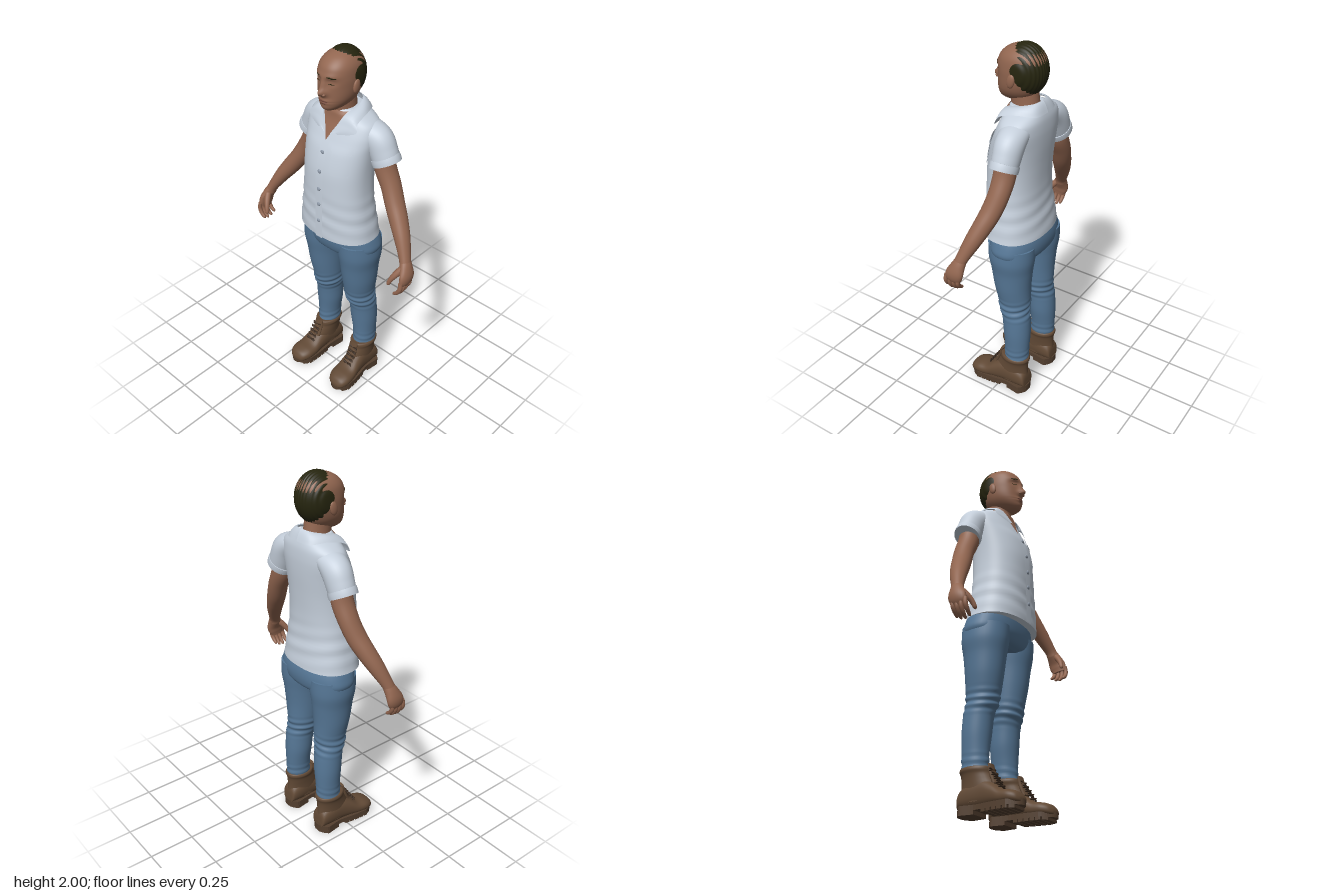
import * as THREE from 'three';

const V = (x, y, z) => new THREE.Vector3(x, y, z);
const mat = (name, color) => {
  const m = new THREE.MeshStandardMaterial({ color, side: THREE.DoubleSide });
  m.name = name;
  return m;
};

// Smooth in-between rows for a list of cross-sections
function dense(rows, k = 6) {
  const out = [], at = i => rows[Math.max(0, Math.min(rows.length - 1, i))];
  for (let i = 0; i < rows.length - 1; i++) for (let s = 0; s < k; s++) {
    const t = s / k;
    out.push(rows[i].map((_, c) => {
      const [a, b, d, e] = [at(i - 1)[c], at(i)[c], at(i + 1)[c], at(i + 2)[c]];
      return b + 0.5 * t * (d - a + t * (2 * a - 5 * b + 4 * d - e + t * (3 * (b - d) + e - a)));
    }));
  }
  out.push(rows[rows.length - 1]);
  return out;
}

// Skin over sections [x, y, z, ru, rv]; rings follow the path unless an axis is fixed
function loft(rows, { axis = null, ref = V(0, 0, 1), n = 32, k = 6, e = 2, warp = null } = {}) {
  const secs = dense(rows, k), pos = [], idx = [], rings = secs.length;
  const c = secs.map(s => V(s[0], s[1], s[2]));
  secs.forEach((s, i) => {
    const t = axis ? axis.clone() : c[Math.min(i + 1, rings - 1)].clone().sub(c[Math.max(i - 1, 0)]).normalize();
    const u = t.clone().cross(ref).normalize(), v = u.clone().cross(t);
    for (let j = 0; j < n; j++) {
      const a = j / n * Math.PI * 2, ca = Math.cos(a), sa = Math.sin(a);
      const d = u.clone().multiplyScalar(Math.sign(ca) * Math.abs(ca) ** (2 / e) * s[3])
        .addScaledVector(v, Math.sign(sa) * Math.abs(sa) ** (2 / e) * s[4]);
      const p = c[i].clone().add(d);
      if (warp) warp(p, d.normalize());
      pos.push(p.x, p.y, p.z);
    }
  });
  for (let i = 0; i < rings - 1; i++) for (let j = 0; j < n; j++) {
    const a = i * n + j, b = i * n + (j + 1) % n;
    idx.push(a, a + n, b, b, a + n, b + n);
  }
  for (const i of [0, rings - 1]) {
    const o = pos.length / 3;
    pos.push(...pos.slice(i * n * 3, (i + 1) * n * 3), c[i].x, c[i].y, c[i].z);
    for (let j = 0; j < n; j++) {
      const a = o + j, b = o + (j + 1) % n;
      idx.push(...(i ? [a, o + n, b] : [a, b, o + n]));
    }
  }
  const g = new THREE.BufferGeometry();
  g.setAttribute('position', new THREE.Float32BufferAttribute(pos, 3));
  g.setIndex(idx);
  g.computeVertexNormals();
  return g;
}

// Upright body sections are [y, backZ, frontZ, halfWidth, centreX]
const upright = (rows, s = 1) => rows.map(([y, b, f, rx, cx = 0]) => [cx * s, y, (b + f) / 2, rx, (f - b) / 2]);
const UP = { axis: V(0, 1, 0) };
function frontZ(rows, e) {
  const d = dense(upright(rows), 8);
  return (x, y) => {
    let i = 0;
    while (i < d.length - 2 && d[i + 1][1] < y) i++;
    const t = THREE.MathUtils.clamp((y - d[i][1]) / (d[i + 1][1] - d[i][1]), 0, 1);
    const L = q => d[i][q] + (d[i + 1][q] - d[i][q]) * t;
    return L(2) + L(4) * Math.max(0, 1 - Math.min(1, Math.abs(x) / L(3)) ** e) ** (1 / e);
  };
}
// Thin plate that follows a front surface
function plate(fn, cx, cy, w, h, off, width = () => 1, tilt = 0) {
  const g = new THREE.PlaneGeometry(1, 1, 12, 16), p = g.attributes.position;
  for (let i = 0; i < p.count; i++) {
    const u = p.getX(i), v = p.getY(i), x = cx + u * w * width(v), y = cy + v * h + tilt * u;
    p.setXYZ(i, x, y, fn(x, y) + off);
  }
  g.computeVertexNormals();
  return g;
}

const TORSO = [[1.005, -.185, .128, .225], [1.1, -.174, .128, .21], [1.2, -.162, .126, .196], [1.3, -.16, .124, .188],
  [1.4, -.165, .117, .188], [1.5, -.173, .094, .195], [1.56, -.176, .068, .203], [1.6, -.176, .05, .203],
  [1.64, -.173, .032, .19], [1.667, -.167, .024, .155], [1.69, -.158, .02, .108], [1.705, -.145, .01, .08]];
const HEAD = [[1.71, -.02, .05, .015], [1.718, -.05, .075, .036], [1.738, -.09, .087, .06], [1.765, -.115, .089, .079],
  [1.795, -.132, .088, .09], [1.835, -.15, .088, .096], [1.88, -.158, .09, .097], [1.93, -.15, .078, .09],
  [1.965, -.125, .045, .068], [1.985, -.09, .0, .035], [1.99, -.055, -.04, .006]];
const LEG = [[.2, -.158, -.02, .058, .137], [.3, -.162, -.022, .062, .135], [.4, -.165, -.014, .072, .13],
  [.5, -.16, -.003, .074, .126], [.55, -.152, .016, .079, .12], [.6, -.154, .026, .081, .116], [.7, -.156, .045, .092, .12],
  [.8, -.165, .06, .1, .121], [.88, -.176, .074, .111, .122], [.96, -.178, .08, .112, .117]];
const PELVIS = [[.87, -.13, .035, .1], [.89, -.172, .066, .2], [.93, -.185, .082, .235], [.98, -.184, .088, .229], [1.04, -.168, .088, .208]];

const bump = (x, y, cx, cy, sx, sy, a) => a * Math.exp(-((x - cx) ** 2) / (2 * sx * sx) - ((y - cy) ** 2) / (2 * sy * sy));
const faceRelief = (x, y) => {
  const ax = Math.abs(x);
  return bump(x, y, 0, 1.845, .011, .025, .017) + bump(x, y, 0, 1.815, .016, .014, .029)
    + bump(ax, y, .038, 1.868, .018, .012, -.011) + bump(ax, y, .036, 1.866, .011, .007, .005)
    + bump(ax, y, .035, 1.895, .025, .009, .005) + bump(x, y, 0, 1.768, .024, .01, .009)
    + bump(x, y, 0, 1.768, .03, .0025, -.004) + bump(x, y, 0, 1.735, .02, .012, .004);
};

export function createModel() {
  const model = new THREE.Group();
  const skin = mat('skin', 0x926650), shirt = mat('shirt', 0xc6d0dc), denim = mat('denim', 0x567796),
    leather = mat('bootLeather', 0x624a36), sole = mat('soleRubber', 0x544030), hair = mat('hair', 0x26250f),
    lip = mat('lips', 0x7d5142), button = mat('buttons', 0x929dac), lace = mat('laces', 0x3c2c20);
  const add = (name, geo, m) => {
    const mesh = new THREE.Mesh(geo, m);
    mesh.name = name;
    model.add(mesh);
    return mesh;
  };
  const ball = (name, m, p, r) => {
    const b = add(name, new THREE.SphereGeometry(1, 20, 14), m);
    b.position.set(...p);
    b.scale.set(...r);
    return b;
  };

  // Head, face and hair
  add('head', loft(upright(HEAD), { ...UP, n: 88, k: 8, e: 2.15, warp: p => {
    if (p.z > 0) p.z += faceRelief(p.x, p.y) * Math.min(1, p.z / .04);
  } }), skin);
  add('neck', loft(upright([[1.6, -.14, .01, .085], [1.65, -.135, .022, .07], [1.7, -.125, .022, .061], [1.8, -.11, .035, .06]]), UP), skin);
  const headZ = frontZ(HEAD, 2.15), faceZ = (x, y) => headZ(x, y) + faceRelief(x, y);
  const oval = v => Math.sqrt(Math.max(0, 1 - 4 * v * v));
  add('lips', plate(faceZ, 0, 1.768, .052, .022, .0015, oval), lip);
  const cap = new THREE.SphereGeometry(1, 96, 40, 0, Math.PI * 2, 0, 1.75);
  cap.rotateX(-.87);
  const hp = cap.attributes.position;
  for (let i = 0; i < hp.count; i++) {
    const x = hp.getX(i), r = 1 + .012 * Math.cos(x * 40);
    hp.setXYZ(i, x * .1 * r, 1.87 + hp.getY(i) * .1285 * r, -.053 + hp.getZ(i) * .11 * r);
  }
  cap.computeVertexNormals();
  add('hair', cap, hair);

  // Shirt body with open collar, placket, pocket and buttons
  add('shirtBody', loft(upright(TORSO), { ...UP, n: 64, e: 2.3, warp: (p, d) => {
    const fold = Math.max(0, 1 - Math.abs(p.y - 1.13) / .16);
    p.addScaledVector(d, .003 * fold * Math.sin(p.y * 75 + p.x * 14));
  } }), shirt);
  const chestZ = frontZ(TORSO, 2.3);
  add('openNeckSkin', plate(chestZ, 0, 1.628, .14, .145, .005, v => v + .5), skin);
  add('placket', plate(chestZ, .003, 1.28, .046, .55, .007), shirt);
  add('chestPocket', plate(chestZ, .105, 1.465, .1, .13, .005, v => v < -.4 ? .85 : 1), shirt);
  add('pocketFlap', plate(chestZ, .105, 1.535, .112, .045, .009, v => v < -.3 ? .8 : 1), shirt);
  for (const y of [1.5, 1.4, 1.3, 1.21, 1.11]) ball('button', button, [.003, y, chestZ(0, y) + .008], [.011, .011, .005]);

  // Trouser seat
  add('trouserSeat', loft(upright(PELVIS), { ...UP, n: 48, e: 2.3 }), denim);

  for (const s of [1, -1]) {
    const side = s > 0 ? 'left' : 'right';
    const P = rows => rows.map(([x, ...r]) => [x * s, ...r]);

    // Face details
    ball(side + 'Ear', skin, [.099 * s, 1.835, -.03], [.011, .035, .021]).rotation.x = -.2;
    add(side + 'Eyebrow', plate(faceZ, .042 * s, 1.893, .042, .007, .0015, oval, -.004 * s), hair);
    add(side + 'LashLine', plate(faceZ, .039 * s, 1.861, .032, .0035, .0015, oval, -.003 * s), hair);
    ball(side + 'Nostril', skin, [.014 * s, 1.808, .098], [.009, .008, .012]);

    // Collar wing, from the back of the neck to the lapel tip
    const top = [[0, 1.735, -.145], [.05, 1.73, -.13], [.079, 1.715, -.07], [.068, 1.69, .012], [.045, 1.64, .046], [.018, 1.59, .068]];
    const low = [[0, 1.68, -.176], [.085, 1.68, -.16], [.128, 1.688, -.08], [.14, 1.665, .005], [.148, 1.625, .03], [.062, 1.6, .06]];
    const T = dense(top), B = dense(low), cg = new THREE.PlaneGeometry(1, 1, T.length - 1, 6), cp = cg.attributes.position;
    for (let r = 0; r <= 6; r++) T.forEach((a, i) => {
      const t = r / 6, q = a.map((v, c) => v + (B[i][c] - v) * t), f = chestZ(q[0], q[1]) + .011;
      const z = i > 18 ? Math.max(q[2], f) : q[2];
      cp.setXYZ(r * T.length + i, q[0] * s * (1 + .1 * t * (1 - t)), q[1] + .04 * t * (1 - t), z);
    });
    cg.computeVertexNormals();
    add(side + 'Collar', cg, shirt);

    // Sleeve, cuff, arm
    add(side + 'Sleeve', loft(P([[.1, 1.615, -.08, .045, .07], [.14, 1.603, -.082, .06, .075], [.192, 1.567, -.088, .076, .073],
      [.222, 1.515, -.09, .075, .069], [.246, 1.462, -.09, .071, .065]]), { n: 40 }), shirt);
    add(side + 'Cuff', loft(P([[.234, 1.488, -.09, .077, .07], [.242, 1.473, -.09, .078, .071], [.25, 1.457, -.09, .077, .07]]), { n: 40, k: 2 }), shirt);
    add(side + 'Arm', loft(P([[.215, 1.53, -.09, .054, .055], [.24, 1.43, -.09, .053, .057], [.283, 1.345, -.086, .049, .054],
      [.325, 1.265, -.07, .048, .052], [.372, 1.195, -.048, .046, .048], [.42, 1.125, -.022, .039, .042],
      [.466, 1.045, .008, .028, .032], [.48, 1.01, .018, .027, .033]])), skin);

    // Hand with curled fingers and thumb
    add(side + 'Palm', loft(P([[.47, 1.035, .01, .026, .03], [.486, 1.005, .02, .027, .038], [.5, .97, .03, .025, .047],
      [.502, .94, .04, .021, .046], [.498, .915, .045, .013, .036]]), { n: 24 }), skin);
    for (let f = 0; f < 4; f++) {
      const z = .008 + f * .024, l = [.85, 1, 1.05, .95][f], r = .0115;
      add(side + 'Finger', loft(P([[.503, .945, z, r, r], [.505, .945 - .035 * l, z + .004, r, r],
        [.49, .945 - .065 * l, z + .006, .0105, .0105], [.47, .945 - .082 * l, z + .005, .008, .008],
        [.463, .945 - .085 * l, z + .005, .003, .003]]), { n: 12, k: 4 }), skin);
    }
    add(side + 'Thumb', loft(P([[.482, 1.01, .035, .018, .018], [.462, .975, .065, .017, .016], [.446, .945, .083, .013, .013],
      [.437, .918, .092, .01, .01], [.435, .908, .094, .003, .003]]), { n: 14, k: 4 }), skin);

    // Trouser leg with folds at knee and ankle
    add(side + 'TrouserLeg', loft(upright(LEG, s), { ...UP, n: 40, k: 12, warp: (p, d) => {
      const w = Math.max(0, 1 - Math.abs(p.y - .56) / .08) + .7 * Math.max(0, 1 - Math.abs(p.y - .25) / .06);
      p.addScaledVector(d, .004 * w * Math.sin(p.y * 160 + p.x * s * 25 + p.z * 12));
    } }), denim);

    // Boot: foot, shaft, collar, sole
    const cx = z => .139 + .07 * Math.max(0, z + .06);
    const foot = [[-.166, .06, .03, .035], [-.155, .125, .03, .049], [-.1, .16, .025, .056], [-.03, .17, .025, .057], [.03, .142, .025, .06],
      [.08, .108, .025, .065], [.13, .098, .025, .066], [.165, .085, .025, .053], [.182, .065, .03, .033], [.187, .052, .038, .01]];
    add(side + 'BootFoot', loft(foot.map(([z, t, b, rx]) => [cx(z) * s, (t + b) / 2, z, rx, (t - b) / 2]),
      { axis: V(0, 0, 1), ref: V(0, 1, 0), e: 2.3 }), leather);
    add(side + 'BootShaft', loft(upright([[.06, -.166, .04, .054, .139], [.13, -.16, .035, .055, .138], [.17, -.16, .018, .057, .137],
      [.195, -.163, .006, .06, .137], [.213, -.169, .004, .066, .137], [.226, -.167, .002, .063, .137], [.23, -.16, -.005, .056, .137]], s), UP), leather);
    add(side + 'BootTongue', loft([[.138 * s, .14, .03, .03, .012], [.137 * s, .19, .01, .03, .012], [.137 * s, .24, -.002, .026, .008]], { n: 16 }), leather);
    const slab = (name, z0, z1, y0, y1) => {
      const half = z => .067 * Math.min(1, Math.sqrt(Math.max(0, (.192 - z) / .065)), Math.sqrt(Math.max(0, (z + .172) / .035)))
        * (1 - .17 * Math.exp(-(((z + .05) / .07) ** 2)));
      const L = [], R = [];
      for (let i = 0; i <= 32; i++) {
        const z = z0 + (z1 - z0) * (.5 - .5 * Math.cos(i / 32 * Math.PI)), h = Math.max(half(z), .002);
        L.push(new THREE.Vector2((cx(z) - h) * s, -z));
        R.unshift(new THREE.Vector2((cx(z) + h) * s, -z));
      }
      const g = new THREE.ExtrudeGeometry(new THREE.Shape([...L, ...R]), { depth: y1 - y0, bevelEnabled: false });
      g.rotateX(-Math.PI / 2).translate(0, y0, 0);
      add(side + name, g, sole);
    };
    slab('Sole', -.172, .192, .02, .045);
    slab('Heel', -.17, -.06, 0, .022);
    for (let i = 0; i < 6; i++) slab('Tread', -.015 + i * .031, .009 + i * .031, .006, .022);

    // Crossed laces up the instep
    for (let i = 0; i < 5; i++) for (const t of [1, -1]) {
      const g = new THREE.CapsuleGeometry(.0045, .05, 3, 8);
      const l = add(side + 'Lace', g, lace);
      l.position.set((cx(.07 - i * .014) - .001) * s, .125 + i * .021, .066 - i * .0135);
      l.rotation.z = Math.PI / 2 + t * .22;
    }
  }
  return model;
}
